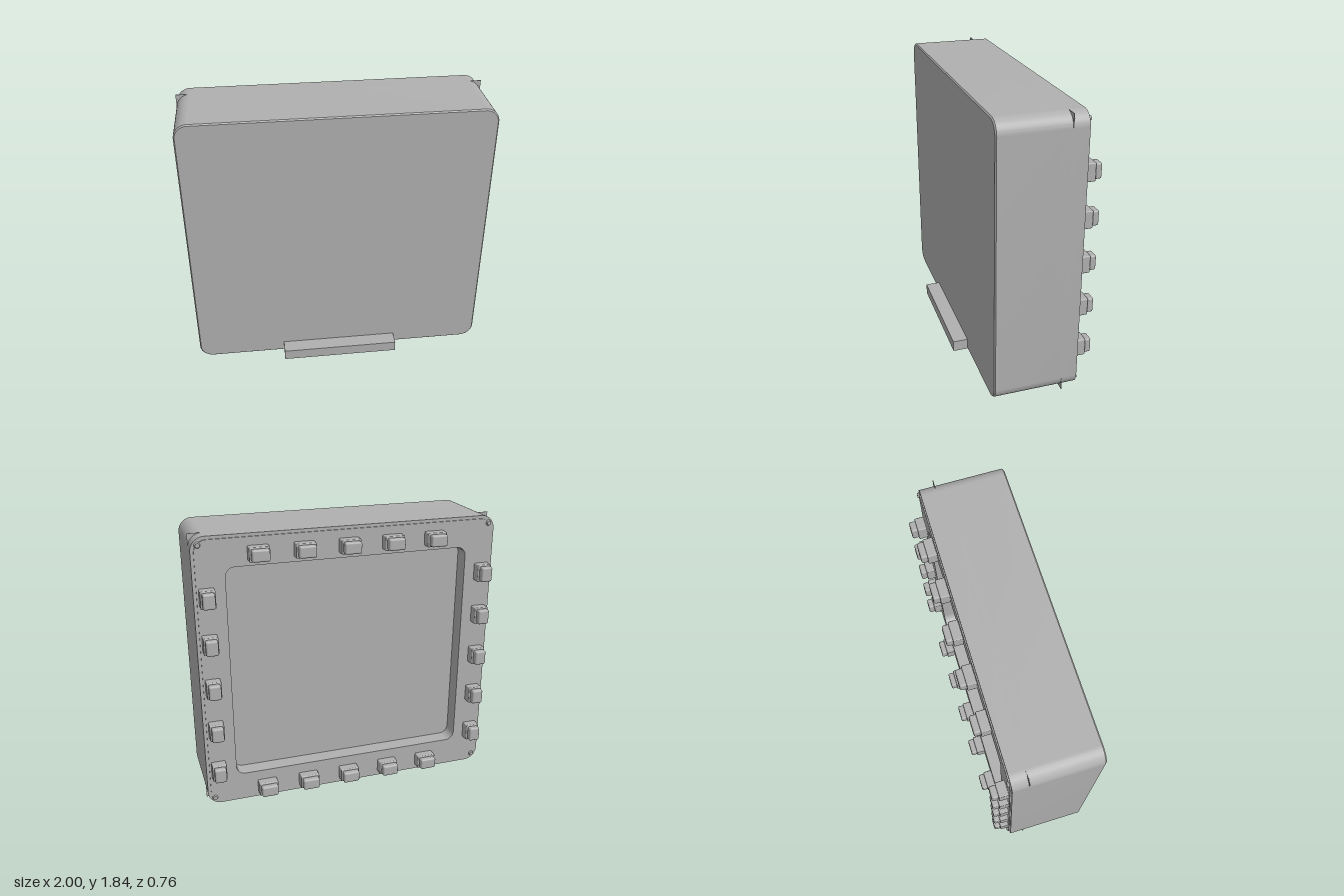
import * as THREE from 'three';
import { toCreasedNormals } from 'three/addons/utils/BufferGeometryUtils.js';
import { RoundedBoxGeometry } from 'three/addons/geometries/RoundedBoxGeometry.js';

const WIDTH = 2, HEIGHT = 1.84, MID_Y = HEIGHT / 2;

// Rounded rectangle centred on the origin
function roundedRect(w, h, r, target = new THREE.Shape()) {
  const x = w / 2, y = h / 2;
  target.moveTo(-x + r, -y);
  target.lineTo(x - r, -y);
  target.absarc(x - r, -y + r, r, -Math.PI / 2, 0, false);
  target.lineTo(x, y - r);
  target.absarc(x - r, y - r, r, 0, Math.PI / 2, false);
  target.lineTo(-x + r, y);
  target.absarc(-x + r, y - r, r, Math.PI / 2, Math.PI, false);
  target.lineTo(-x, -y + r);
  target.absarc(-x + r, -y + r, r, Math.PI, Math.PI * 1.5, false);
  return target;
}

// Extrude a shape between two depths, optionally with a small edge bevel
function slab(shape, z0, z1, bevel = 0) {
  const geo = new THREE.ExtrudeGeometry(shape, {
    depth: z1 - z0 - 2 * bevel, curveSegments: 10,
    bevelEnabled: bevel > 0, bevelSize: bevel, bevelThickness: bevel,
    bevelOffset: -bevel, bevelSegments: 1,
  });
  geo.translate(0, MID_Y, z0 + bevel);
  return toCreasedNormals(geo, 0.5);
}

export function createModel() {
  const model = new THREE.Group();
  model.name = 'displayUnit';
  const grey = new THREE.MeshStandardMaterial({ color: 0xb0b0b0 });
  grey.name = 'grey';

  const add = (parent, name, geo, x = 0, y = 0, z = 0) => {
    const mesh = new THREE.Mesh(geo, grey);
    mesh.name = name;
    mesh.position.set(x, y, z);
    parent.add(mesh);
    return mesh;
  };
  const frameShape = (w, h, r) => {
    const shape = roundedRect(w, h, r);
    shape.holes.push(roundedRect(1.6, 1.44, 0.06, new THREE.Path()));
    return shape;
  };

  // Housing: solid block, rear wall round the recess, and inset bezel
  add(model, 'housing', slab(roundedRect(WIDTH, HEIGHT, 0.09), -0.165, 0.28, 0.008));
  add(model, 'rearWall', slab(frameShape(WIDTH, HEIGHT, 0.09), -0.27, -0.1));
  add(model, 'bezel', slab(frameShape(WIDTH - 0.04, HEIGHT - 0.04, 0.08), -0.278, -0.27));

  // Screen sheet at the bottom of the recess; its square corners poke out
  add(model, 'screen', new THREE.BoxGeometry(WIDTH, HEIGHT, 0.004), 0, MID_Y, -0.17);

  // Ledge on the lower front
  add(model, 'ledge', new THREE.BoxGeometry(0.8, 0.075, 0.1), 0, 0.0375, 0.33);

  // Bezel keys: a base with a smaller rounded cap
  const keySet = (w, h) => [
    new RoundedBoxGeometry(w, h, 0.075, 2, 0.007),
    new RoundedBoxGeometry(w - 0.018, h - 0.016, 0.046, 2, 0.012),
  ];
  const wideKey = keySet(0.13, 0.092);
  const tallKey = keySet(0.095, 0.115);
  const addKey = ([base, cap], x, y) => {
    const key = new THREE.Group();
    key.name = 'key';
    key.position.set(x, y, 0);
    add(key, 'keyBase', base, 0, 0, -0.3);
    add(key, 'keyCap', cap, 0, 0, -0.356);
    model.add(key);
  };
  for (let i = 0; i < 5; i++) {
    for (const y of [0.085, 1.72]) addKey(wideKey, -0.565 + 0.29 * i, y);
    for (const x of [-0.92, 0.92]) addKey(tallKey, x, 0.265 + 0.3 * i);
  }

  // Corner screws
  const screw = new THREE.CylinderGeometry(0.014, 0.02, 0.014, 16).rotateX(-Math.PI / 2);
  for (const x of [-0.955, 0.955])
    for (const y of [0.05, HEIGHT - 0.05]) add(model, 'screw', screw, x, y, -0.281);

  return model;
}
